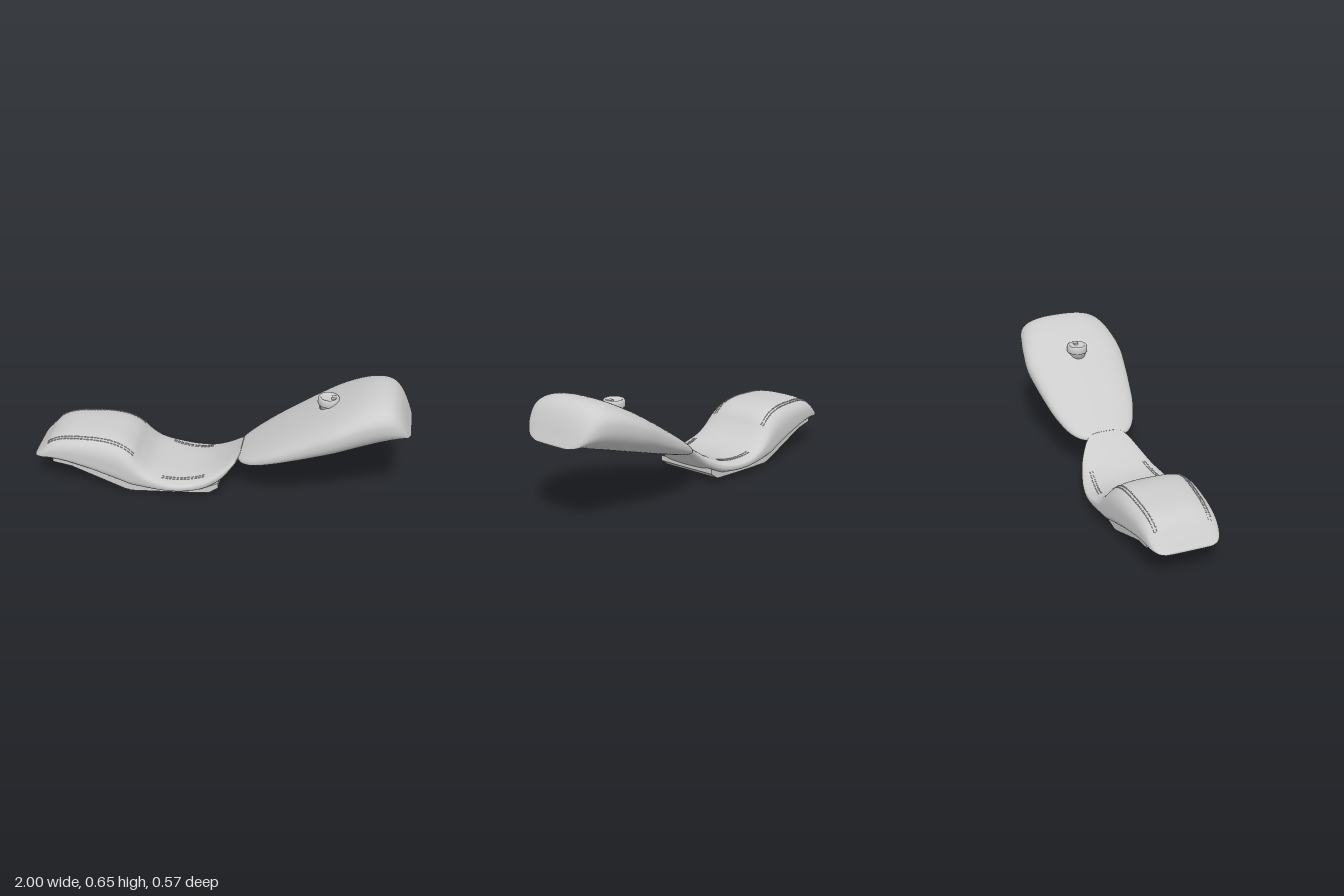
import * as THREE from 'three';

const grey = new THREE.MeshStandardMaterial({ color: 0xcccccc });
grey.name = 'light grey';

// Stations along x: [x, top, bottom, half width, height fraction of the widest line, top exponent]
const seatStations = [
  [-1.0, 0.163, 0.153, 0.125, 0.5, 2.6],
  [-0.985, 0.18, 0.153, 0.155, 0.4, 2.6],
  [-0.95, 0.222, 0.155, 0.178, 0.3, 2.8],
  [-0.9, 0.272, 0.153, 0.19, 0.3, 3.0],
  [-0.82, 0.302, 0.142, 0.2, 0.3, 3.2],
  [-0.7, 0.313, 0.11, 0.212, 0.32, 3.3],
  [-0.6, 0.314, 0.078, 0.22, 0.32, 3.3],
  [-0.52, 0.297, 0.052, 0.225, 0.32, 3.3],
  [-0.46, 0.26, 0.036, 0.229, 0.32, 3.2],
  [-0.41, 0.2, 0.032, 0.232, 0.4, 3.0],
  [-0.35, 0.148, 0.03, 0.236, 0.5, 2.9],
  [-0.25, 0.114, 0.031, 0.239, 0.55, 2.8],
  [-0.15, 0.111, 0.034, 0.226, 0.55, 2.7],
  [-0.06, 0.132, 0.046, 0.202, 0.55, 2.6],
  [0.02, 0.172, 0.09, 0.172, 0.55, 2.5],
  [0.08, 0.215, 0.16, 0.134, 0.55, 2.4],
  [0.105, 0.237, 0.2, 0.108, 0.5, 2.3],
  [0.116, 0.247, 0.225, 0.08, 0.5, 2.3],
];
const tankStations = [
  [0.1, 0.225, 0.2, 0.075, 0.5, 2.5],
  [0.112, 0.237, 0.198, 0.115, 0.5, 2.5],
  [0.14, 0.258, 0.197, 0.154, 0.45, 2.5],
  [0.2, 0.3, 0.206, 0.195, 0.45, 2.5],
  [0.3, 0.367, 0.235, 0.233, 0.48, 2.5],
  [0.4, 0.432, 0.264, 0.254, 0.5, 2.5],
  [0.5, 0.495, 0.294, 0.271, 0.53, 2.5],
  [0.62, 0.565, 0.331, 0.284, 0.56, 2.5],
  [0.74, 0.625, 0.368, 0.269, 0.56, 2.5],
  [0.83, 0.648, 0.395, 0.25, 0.55, 2.5],
  [0.89, 0.638, 0.413, 0.233, 0.53, 2.6],
  [0.93, 0.605, 0.425, 0.214, 0.5, 2.6],
  [0.96, 0.553, 0.433, 0.192, 0.5, 2.6],
  [0.985, 0.49, 0.439, 0.16, 0.5, 2.6],
  [1.0, 0.452, 0.443, 0.11, 0.5, 2.6],
];

// Smooth interpolation of all station values
function sampler(stations) {
  const spline = (a, b, c) => new THREE.CatmullRomCurve3(
    stations.map((s) => new THREE.Vector3(s[a], s[b], s[c])), false, 'catmullrom', 0.5);
  const heights = spline(0, 1, 2);
  const shapes = spline(3, 4, 5);
  return (t) => {
    const h = heights.getPoint(t), s = shapes.getPoint(t);
    return { x: h.x, top: h.y, bottom: h.z, width: s.x, mid: h.z + (h.y - h.z) * s.y, n: s.z };
  };
}

// Closed skin of rounded sections along x
function loft(sample, steps, bottomN) {
  const around = 72, pos = [], index = [];
  for (let i = 0; i <= steps; i++) {
    const s = sample(i / steps);
    for (let j = 0; j < around; j++) {
      const a = (j / around) * Math.PI * 2, c = Math.cos(a), d = Math.sin(a);
      const n = d >= 0 ? s.n : bottomN;
      const rise = d >= 0 ? s.top - s.mid : s.mid - s.bottom;
      pos.push(s.x, s.mid + Math.sign(d) * rise * Math.abs(d) ** (2 / n),
        Math.sign(c) * s.width * Math.abs(c) ** (2 / n));
    }
  }
  for (let i = 0; i < steps; i++) {
    for (let j = 0; j < around; j++) {
      const k = (j + 1) % around, a = i * around, b = a + around;
      index.push(a + j, b + j, a + k, b + j, b + k, a + k);
    }
  }
  // End caps
  const first = pos.length / 3, last = steps * around;
  for (const t of [0, 1]) { const s = sample(t); pos.push(s.x, s.mid, 0); }
  for (let j = 0; j < around; j++) {
    const k = (j + 1) % around;
    index.push(first, j, k, first + 1, last + k, last + j);
  }
  const g = new THREE.BufferGeometry();
  g.setAttribute('position', new THREE.Float32BufferAttribute(pos, 3));
  g.setIndex(index);
  g.computeVertexNormals();
  return g;
}

// Point on the upper skin at a given x and z
function onTop(sample, x, z) {
  let lo = 0, hi = 1;
  for (let i = 0; i < 30; i++) {
    const m = (lo + hi) / 2;
    if (sample(m).x < x) lo = m; else hi = m;
  }
  const s = sample(lo);
  const r = Math.min(1, Math.abs(z) / s.width);
  return new THREE.Vector3(x, s.mid + (s.top - s.mid) * (1 - r ** s.n) ** (1 / s.n), z);
}

export function createModel() {
  const model = new THREE.Group();
  const add = (name, geometry, parent = model) => {
    const mesh = new THREE.Mesh(geometry, grey);
    mesh.name = name;
    parent.add(mesh);
    return mesh;
  };

  // Seat cushion and fuel tank
  const seat = sampler(seatStations);
  add('seatCushion', loft(seat, 136, 2.8));
  add('fuelTank', loft(sampler(tankStations), 112, 2.3));

  // Bent base plate under the seat
  const outline = [[-0.89, 0.146], [-0.79, 0.128], [-0.5, 0.012], [-0.46, 0.003], [-0.2, 0.018],
    [-0.04, 0.03], [0.01, 0.065], [0.01, 0.095], [-0.05, 0.065], [-0.2, 0.05], [-0.46, 0.04],
    [-0.79, 0.158], [-0.89, 0.17]];
  const plate = new THREE.ExtrudeGeometry(
    new THREE.Shape(outline.map((p) => new THREE.Vector2(...p))), { depth: 0.352, bevelEnabled: false });
  plate.translate(0, 0, -0.176);
  add('basePlate', plate);

  // Double rows of stitches along both sides of the cushion
  const stitches = new THREE.Group();
  stitches.name = 'seatStitching';
  model.add(stitches);
  const rows = [[-0.92, -0.44, 0.14, 0.166, 26], [-0.29, -0.06, 0.185, 0.15, 12]];
  for (const [x0, x1, z0, z1, count] of rows) {
    for (const side of [1, -1]) for (const offset of [-0.006, 0.008]) {
      for (let i = 0; i < count; i++) {
        const point = (f) => onTop(seat, x0 + (x1 - x0) * f, side * (z0 + (z1 - z0) * f + offset));
        const a = point(i / count), b = point((i + 0.65) / count);
        const stitch = add('stitch', new THREE.BoxGeometry(0.005, 0.006, a.distanceTo(b)), stitches);
        stitch.position.copy(a).lerp(b, 0.5);
        stitch.lookAt(b);
      }
    }
  }

  // Filler cap with raised rim and grip bar
  const cap = new THREE.Group();
  cap.name = 'fillerCap';
  cap.position.set(0.565, 0, 0);
  model.add(cap);
  const profile = [[0, 0.5], [0.046, 0.5], [0.046, 0.535], [0.055, 0.537], [0.057, 0.543], [0.057, 0.562],
    [0.053, 0.574], [0.047, 0.577], [0.041, 0.574], [0.04, 0.567], [0, 0.567]];
  add('capBody', new THREE.LatheGeometry(profile.map((p) => new THREE.Vector2(...p)), 40), cap);
  const grip = add('capGrip', new THREE.BoxGeometry(0.03, 0.012, 0.022), cap);
  grip.position.set(0.03, 0.572, 0);

  return model;
}
